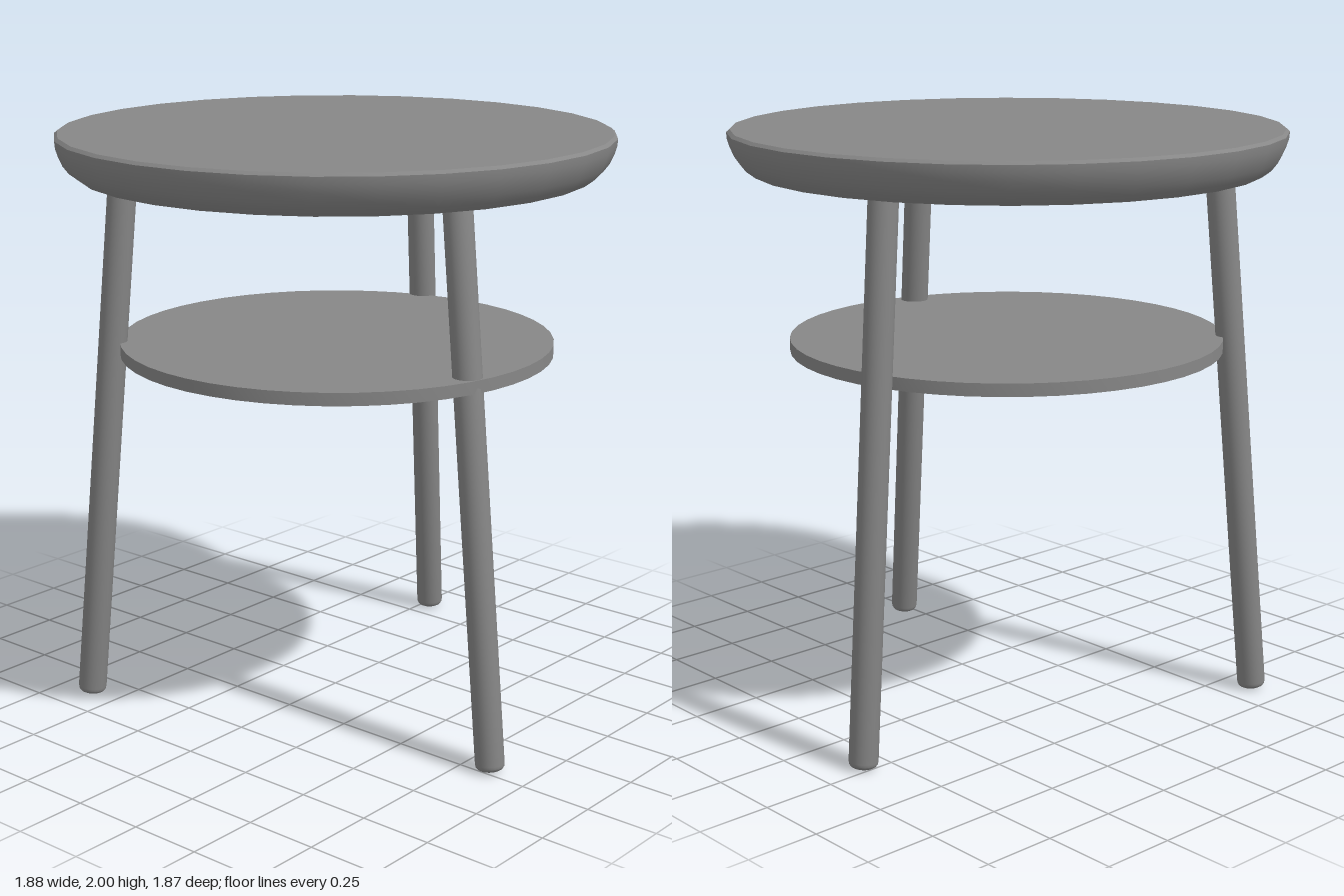
import * as THREE from 'three';
import { toCreasedNormals } from 'three/addons/utils/BufferGeometryUtils.js';

const material = new THREE.MeshStandardMaterial({ color: 0x878787 });

// Turned part from [radius, height] pairs listed bottom to top
function turned(name, profile, sides) {
  const points = profile.map(([r, y]) => new THREE.Vector2(r, y));
  const geometry = new THREE.LatheGeometry(points, sides, Math.PI / 2);
  const mesh = new THREE.Mesh(toCreasedNormals(geometry, 0.48), material);
  mesh.name = name;
  return mesh;
}

// Round leg with a softened foot, running from foot to head
function leg(name, foot, head) {
  const span = head.clone().sub(foot);
  const length = span.length();
  const r = 0.049;
  const mesh = turned(name, [
    [0, 0], [r - 0.016, 0], [r - 0.007, 0.005], [r - 0.002, 0.012], [r, 0.022],
    [r, length], [0, length],
  ], 24);
  mesh.position.copy(foot);
  mesh.quaternion.setFromUnitVectors(new THREE.Vector3(0, 1, 0), span.normalize());
  return mesh;
}

export function createModel() {
  const group = new THREE.Group();
  group.name = 'sideTable';

  // Table top with a rounded underside
  group.add(turned('tableTop', [
    [0, 1.859], [0.864, 1.859], [0.895, 1.882], [0.915, 1.908], [0.929, 1.94],
    [0.937, 1.966], [0.939, 1.99], [0.928, 2], [0, 2],
  ], 30));

  // Thin lower shelf
  const shelf = turned('shelf', [[0, 1.244], [0.743, 1.244], [0.743, 1.287], [0, 1.287]], 48);
  shelf.position.set(0.002, 0, 0.005);
  group.add(shelf);

  // Three splayed legs: foot x, z and head x, z
  const legs = {
    frontLeg: [-0.225, 0.853, -0.114, 0.594],
    leftLeg: [0.845, -0.223, 0.688, -0.181],
    backRightLeg: [-0.618, -0.615, -0.502, -0.5],
  };
  for (const [name, [fx, fz, hx, hz]] of Object.entries(legs)) {
    group.add(leg(name, new THREE.Vector3(fx, 0.005, fz), new THREE.Vector3(hx, 1.89, hz)));
  }
  return group;
}
